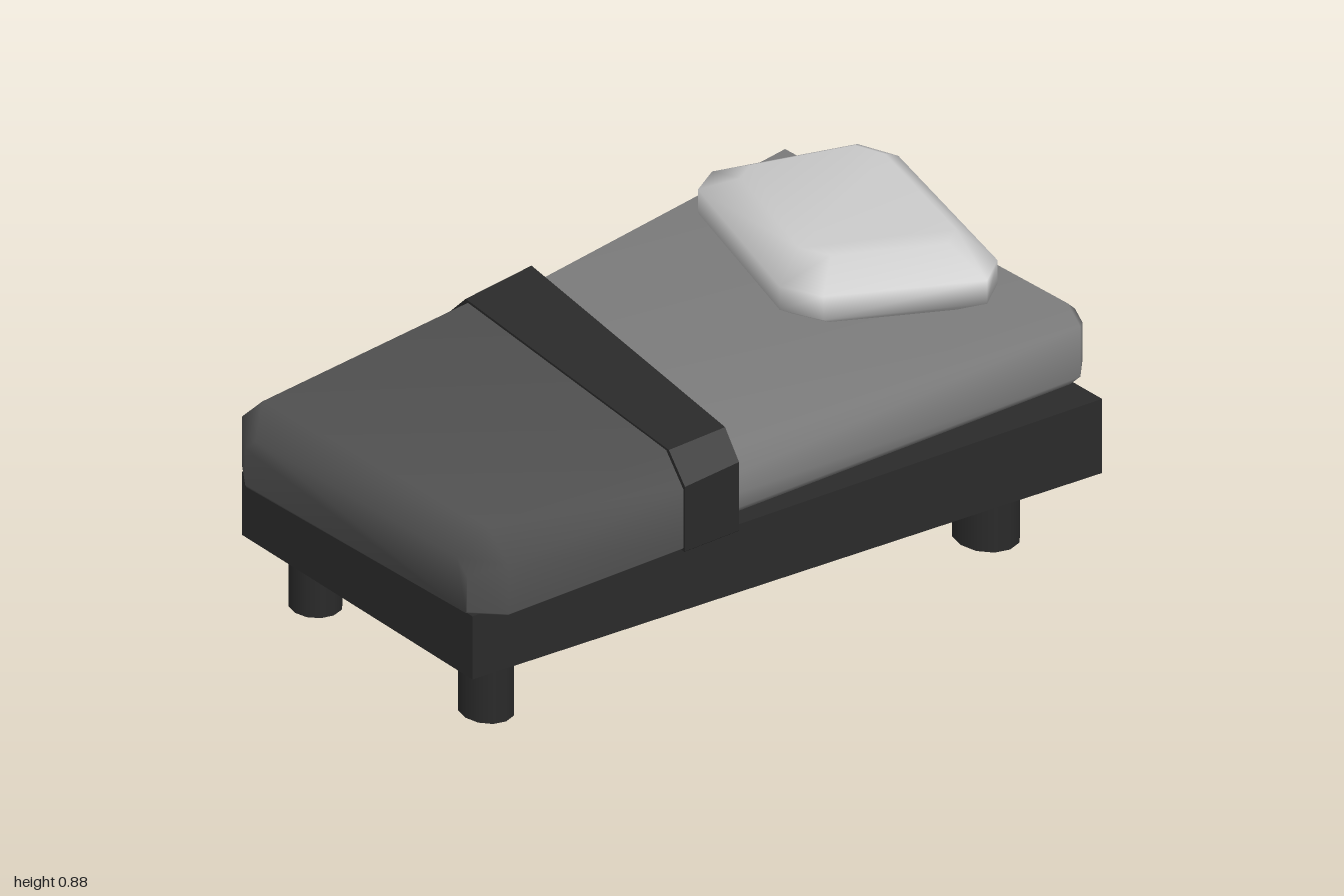
import * as THREE from 'three';
import { toCreasedNormals } from 'three/addons/utils/BufferGeometryUtils.js';

const lerp = THREE.MathUtils.lerp;
const paint = (color) => new THREE.MeshStandardMaterial({ color, roughness: 0.9, side: THREE.DoubleSide });

// Skin a list of equal-length rings, optionally closing either end.
function loft(rings, { capStart = true, capEnd = true, sharp = false } = {}) {
  const n = rings[0].length;
  const index = [];
  for (let i = 0; i < rings.length - 1; i++) {
    for (let j = 0; j < n; j++) {
      const a = i * n + j, b = i * n + (j + 1) % n;
      index.push(a, a + n, b, b, a + n, b + n);
    }
  }
  const last = (rings.length - 1) * n;
  for (let j = 1; j < n - 1; j++) {
    if (capStart) index.push(0, j, j + 1);
    if (capEnd) index.push(last, last + j + 1, last + j);
  }
  const geometry = new THREE.BufferGeometry();
  geometry.setAttribute('position', new THREE.Float32BufferAttribute(rings.flat(2), 3));
  geometry.setIndex(index);
  geometry.computeVertexNormals();
  return sharp ? toCreasedNormals(geometry, 0.4) : geometry;
}

// Chamfered cross-section running askew from front (xf, zf) to back (xb, zb).
function section({ xf, xb, zf, zb, y0, y1, top = 0, bottom = 0 }) {
  const half = [[0, y0, bottom], [0, y0 + bottom, 0], [0, y1 - top, 0], [0, y1, top]];
  const point = (y, inset, front) => {
    const z = front ? zf - inset : zb + inset;
    return [lerp(xb, xf, (z - zb) / (zf - zb)), y, z];
  };
  return [
    ...half.map(([, y, inset]) => point(y, inset, true)),
    ...half.reverse().map(([, y, inset]) => point(y, inset, false)),
  ];
}

export function createModel() {
  const group = new THREE.Group();
  const dark = paint(0x2a2a2a);
  const add = (name, geometry, material) => {
    const mesh = new THREE.Mesh(geometry, material);
    mesh.name = name;
    group.add(mesh);
    return mesh;
  };

  // Legs, each a slightly different oval: x, z, width, depth
  const legs = {
    frontLeftLeg: [0.785, 0.385, 0.17, 0.2],
    backLeftLeg: [0.78, -0.41, 0.14, 0.15],
    frontRightLeg: [-0.8, 0.27, 0.14, 0.165],
    backRightLeg: [-0.8, -0.435, 0.14, 0.15],
  };
  for (const [name, [x, z, width, depth]] of Object.entries(legs)) {
    const leg = add(name, new THREE.CylinderGeometry(0.5, 0.5, 0.24, 12), dark);
    leg.scale.set(width, 1, depth);
    leg.position.set(x, 0.12, z);
  }

  // Bed base, wider at the head end
  const corners = (c) => [
    [c.xf, c.y0, c.zf], [c.xf, c.y1, c.zf], [c.xb, c.y1, c.zb], [c.xb, c.y0, c.zb],
  ];
  add('bedFrame', loft([
    corners({ xf: -0.96, xb: -0.95, zf: 0.41, zb: -0.555, y0: 0.21, y1: 0.40 }),
    corners({ xf: 0.98, xb: 0.94, zf: 0.625, zb: -0.58, y0: 0.222, y1: 0.445 }),
  ], { sharp: true }), dark);

  // Mattress, its foot end tucked inside the blanket
  add('mattress', loft([
    section({ xf: -0.88, xb: -0.88, zf: 0.44, zb: -0.53, y0: 0.41, y1: 0.595, top: 0.08, bottom: 0.03 }),
    section({ xf: 0.96, xb: 0.89, zf: 0.56, zb: -0.628, y0: 0.45, y1: 0.69, top: 0.05, bottom: 0.04 }),
    section({ xf: 1.0, xb: 0.94, zf: 0.52, zb: -0.58, y0: 0.48, y1: 0.65, top: 0.03, bottom: 0.03 }),
  ], { capStart: false }), paint(0x7c7c7c));

  // Blanket over the foot end
  add('blanket', loft([
    section({ xf: -0.97, xb: -1.0, zf: 0.4, zb: -0.48, y0: 0.407, y1: 0.56, top: 0.04, bottom: 0.005 }),
    section({ xf: -0.89, xb: -0.94, zf: 0.475, zb: -0.567, y0: 0.405, y1: 0.637, top: 0.08, bottom: 0.005 }),
    section({ xf: -0.25, xb: -0.12, zf: 0.503, zb: -0.586, y0: 0.41, y1: 0.675, top: 0.08, bottom: 0.005 }),
  ], { capEnd: false }), paint(0x505050));

  // Folded band along the blanket edge
  add('blanketBand', loft([
    section({ xf: -0.325, xb: -0.225, zf: 0.507, zb: -0.589, y0: 0.405, y1: 0.677, top: 0.075, bottom: 0.003 }),
    section({ xf: -0.15, xb: 0.01, zf: 0.515, zb: -0.597, y0: 0.408, y1: 0.687, top: 0.07, bottom: 0.003 }),
  ], { sharp: true }), dark);

  // Pillow: stacked copies of a chamfered outline, tilted up towards the head
  const outline = [
    [0.34, 0.08], [0.48, -0.43], [0.56, -0.47], [0.91, -0.3],
    [0.95, -0.18], [0.82, 0.39], [0.74, 0.445], [0.39, 0.2],
  ];
  const cx = 0.65, cz = -0.015;
  const layers = [[0.676, 0.78], [0.73, 1], [0.8, 1], [0.865, 0.72]];
  add('pillow', loft(layers.map(([y, s]) => outline.map(([x, z]) => {
    const px = cx + (x - cx) * s;
    return [px, y + 0.09 * (px - cx), cz + (z - cz) * s];
  }))), paint(0xcccccc));

  return group;
}
